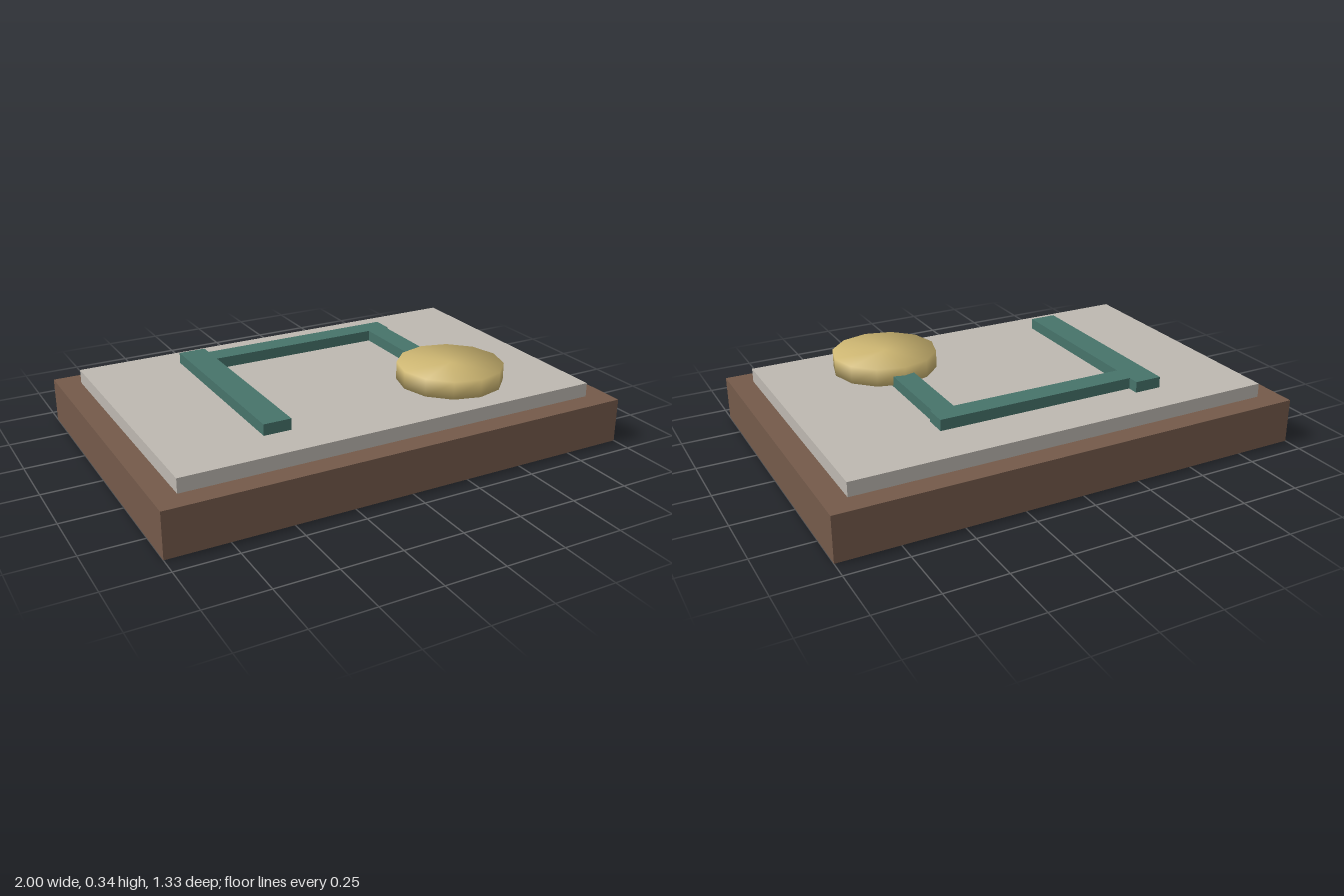
import * as THREE from 'three';

const flat = (name, color) => {
  const m = new THREE.MeshStandardMaterial({ color });
  m.name = name;
  return m;
};

export function createModel() {
  const group = new THREE.Group();
  group.name = 'plaque';
  const wood = flat('brown wood', 0x745a4a);
  const stone = flat('pale stone', 0xbdb8b0);
  const green = flat('green enamel', 0x46736a);
  const brass = flat('brass', 0xcdb672);

  // Box given by its lower and upper corners
  const box = (name, material, [x0, y0, z0], [x1, y1, z1]) => {
    const mesh = new THREE.Mesh(new THREE.BoxGeometry(x1 - x0, y1 - y0, z1 - z0), material);
    mesh.position.set((x0 + x1) / 2, (y0 + y1) / 2, (z0 + z1) / 2);
    mesh.name = name;
    group.add(mesh);
  };

  // Stepped base
  box('base', wood, [-1, 0, -0.667], [1, 0.187, 0.667]);
  box('slab', stone, [-0.905, 0.187, -0.575], [0.905, 0.246, 0.575]);

  // Raised bars, set just clear of the slab
  const low = 0.255, high = 0.301;
  box('longBar', green, [-0.505, low, -0.428], [-0.39, high, 0.424]);
  box('crossBar', green, [-0.39, low, -0.38], [0.46, high, -0.287]);
  box('shortBar', green, [0.36, low, -0.287], [0.452, high, 0.2]);

  // Twelve-sided disc with normals blended softly across the rim
  const radius = 0.221;
  const geometry = new THREE.CylinderGeometry(radius, radius, 0.074, 12);
  const { position, normal } = geometry.attributes;
  const n = new THREE.Vector3();
  for (let i = 0; i < position.count; i++) {
    n.set(position.getX(i) / radius, Math.sign(position.getY(i)), position.getZ(i) / radius).normalize();
    normal.setXYZ(i, n.x, n.y, n.z);
  }
  const disc = new THREE.Mesh(geometry, brass);
  disc.name = 'disc';
  disc.position.set(0.405, 0.299, 0.297);
  group.add(disc);

  return group;
}
